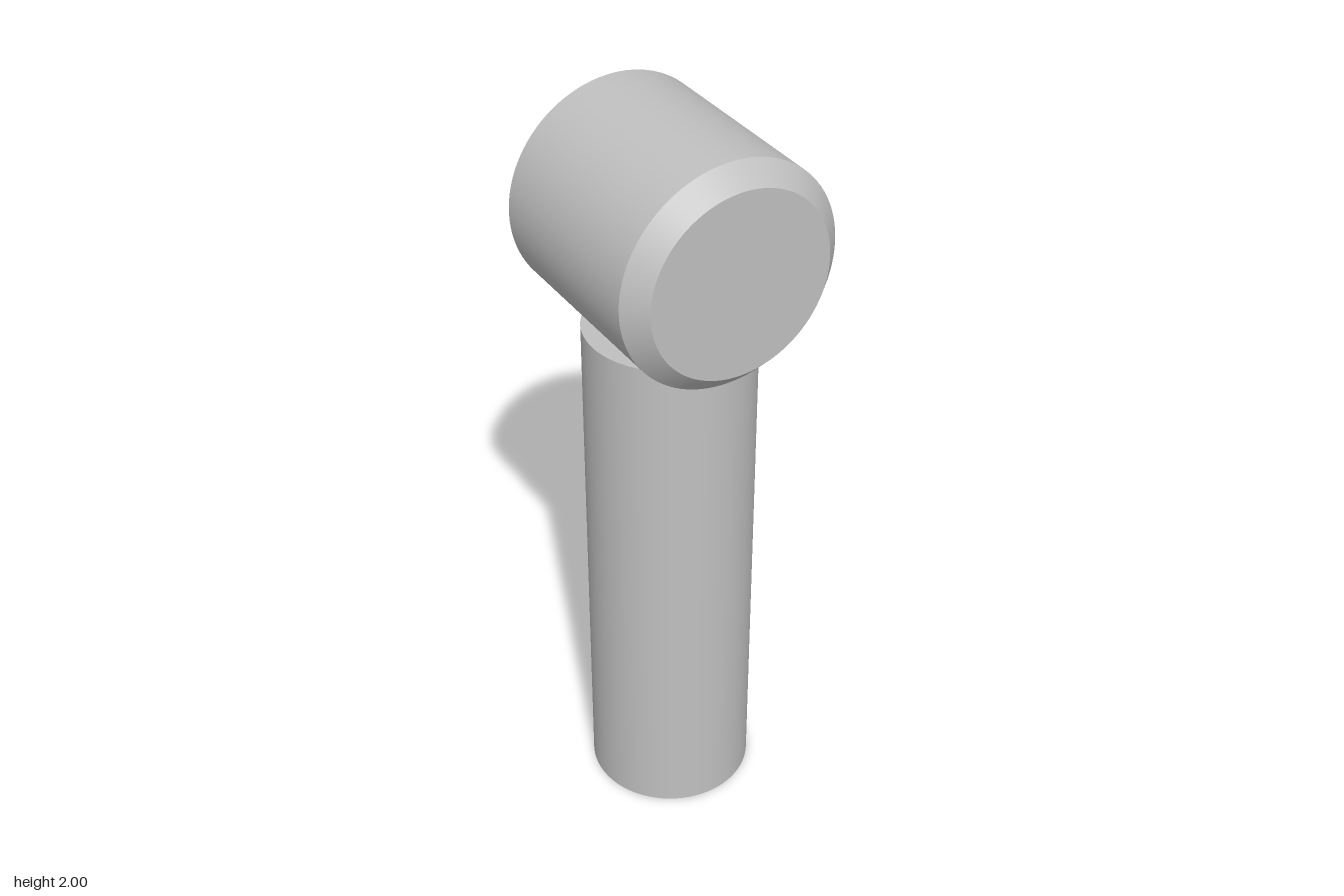
import * as THREE from 'three';

const SEGMENTS = 96;

export function createModel() {
  const model = new THREE.Group();
  model.name = 'mallet';
  const grey = new THREE.MeshStandardMaterial({ color: 0xc0c0c0 });
  grey.name = 'plain grey';

  // A cylinder or cone, added to a parent at a height along its y axis
  const addRound = (parent, name, topRadius, bottomRadius, height, y, open) => {
    const geometry = new THREE.CylinderGeometry(topRadius, bottomRadius, height, SEGMENTS, 1, open);
    const mesh = new THREE.Mesh(geometry, grey);
    mesh.name = name;
    mesh.position.y = y;
    parent.add(mesh);
    return mesh;
  };

  // Upright handle, its flat top sunk into the head
  const handleHeight = 1.445;
  addRound(model, 'handle', 0.22, 0.22, handleHeight, handleHeight / 2, false);

  // Head lying along z, with a chamfer and a flat face at each end
  const radius = 0.293, faceRadius = 0.242, halfLength = 0.312, chamfer = 0.052;
  const head = new THREE.Group();
  head.name = 'head';
  head.position.y = 2 - radius;
  head.rotation.x = Math.PI / 2;
  model.add(head);

  addRound(head, 'headBarrel', radius, radius, 2 * (halfLength - chamfer), 0, true);

  for (const side of [1, -1]) {
    const label = side > 0 ? 'front' : 'back';
    const rim = addRound(head, label + 'Chamfer', faceRadius, radius, chamfer, side * (halfLength - chamfer / 2), true);
    if (side < 0) rim.rotation.x = Math.PI;

    const face = new THREE.Mesh(new THREE.CircleGeometry(faceRadius, SEGMENTS), grey);
    face.name = label + 'Face';
    face.position.y = side * halfLength;
    face.rotation.x = -side * Math.PI / 2;
    head.add(face);
  }

  return model;
}
